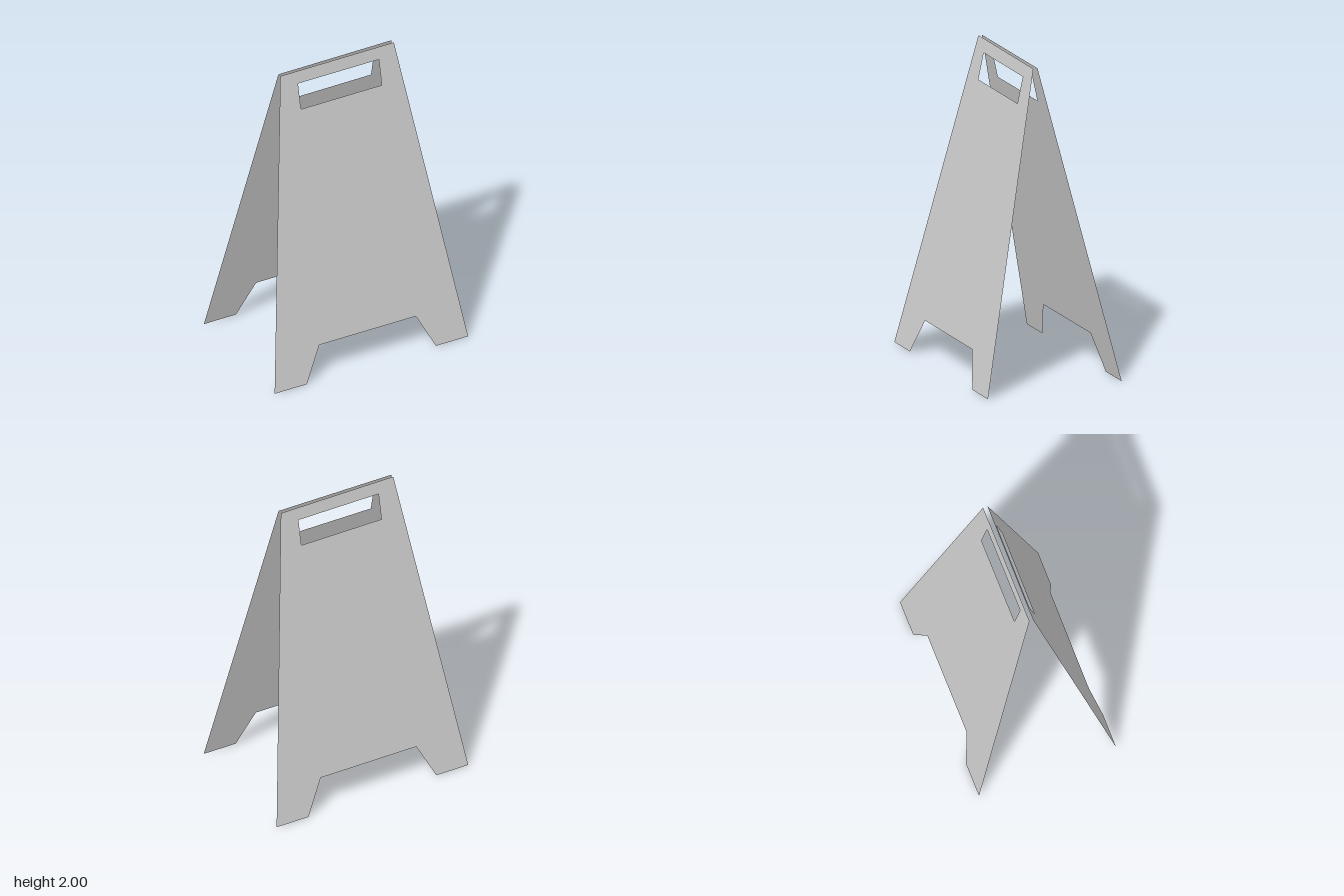
import * as THREE from 'three';

const HEIGHT = 2;
const TOP_Z = 0.013, FOOT_Z = 0.455;

// Leaning sheet with two feet and a handle slot
function panelGeometry() {
  const half = [[0.4, HEIGHT], [0.682, 0], [0.455, 0], [0.34, 0.225]];
  const mirrored = half.map(([x, y]) => [-x, y]).reverse();
  const shape = new THREE.Shape([...half, ...mirrored].map(([x, y]) => new THREE.Vector2(x, y)));

  const slot = [[-0.285, 1.752], [0.285, 1.752], [0.285, 1.92], [-0.285, 1.92]];
  shape.holes.push(new THREE.Path(slot.map(([x, y]) => new THREE.Vector2(x, y))));

  // Lean the sheet: feet outward, top edge near the centre
  const geometry = new THREE.ShapeGeometry(shape);
  const pos = geometry.attributes.position;
  for (let i = 0; i < pos.count; i++) {
    pos.setZ(i, THREE.MathUtils.lerp(FOOT_Z, TOP_Z, pos.getY(i) / HEIGHT));
  }
  geometry.computeVertexNormals();
  return geometry;
}

export function createModel() {
  const group = new THREE.Group();
  group.name = 'foldingFloorSign';
  const material = new THREE.MeshStandardMaterial({ color: 0xcccccc, side: THREE.DoubleSide });
  const geometry = panelGeometry();

  const frontPanel = new THREE.Mesh(geometry, material);
  frontPanel.name = 'frontPanel';

  // The back panel is the same sheet turned around, very slightly askew
  const backPanel = new THREE.Mesh(geometry, material);
  backPanel.name = 'backPanel';
  backPanel.rotation.y = Math.PI + 0.006;

  group.add(frontPanel, backPanel);
  return group;
}
